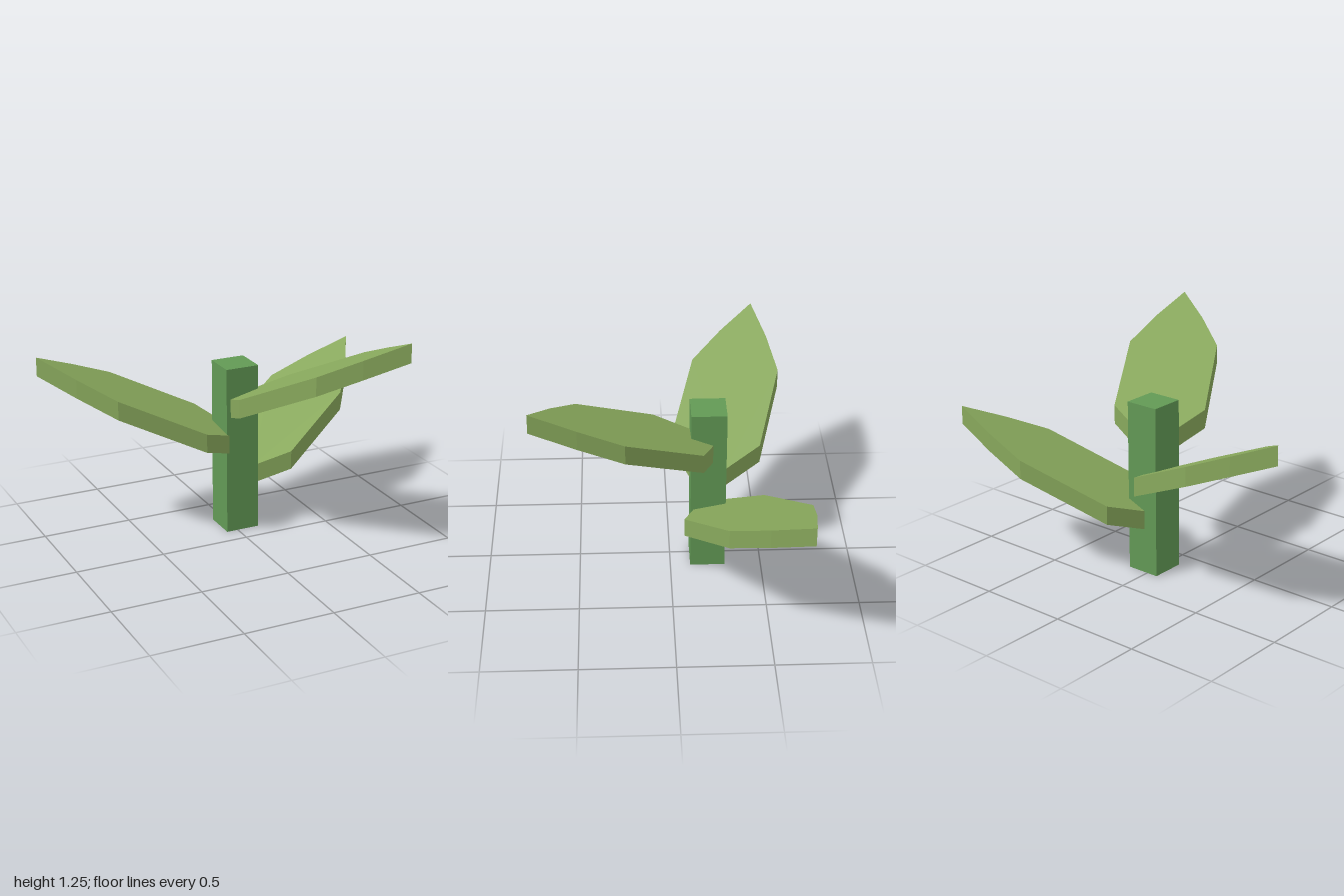
import * as THREE from 'three';

const SLOPE = 0.458;      // rise of a leaf per unit of reach
const THICKNESS = 0.105;  // measured vertically

// Half outline of a leaf: distance from the stem axis, half width
const HALF_OUTLINE = [[0.03, 0.095], [0.192, 0.247], [0.664, 0.247], [0.872, 0.134]];
const TIP = [1.073, 0];

// Flat outline extruded upwards, then sheared so the leaf rises towards its tip
function leafGeometry() {
  const points = [
    ...HALF_OUTLINE.map(([r, w]) => [r, -w]),
    TIP,
    ...HALF_OUTLINE.slice().reverse(),
  ].map(([r, w]) => new THREE.Vector2(r, w));
  const geometry = new THREE.ExtrudeGeometry(new THREE.Shape(points), { depth: THICKNESS, bevelEnabled: false });
  geometry.rotateX(-Math.PI / 2);
  const position = geometry.attributes.position;
  for (let i = 0; i < position.count; i++) {
    position.setY(i, position.getY(i) - THICKNESS + SLOPE * position.getX(i));
  }
  geometry.computeVertexNormals();
  return geometry;
}

export function createModel() {
  const stemGreen = new THREE.MeshStandardMaterial({ name: 'stem green', color: 0x629955, flatShading: true });
  const leafGreen = new THREE.MeshStandardMaterial({ name: 'leaf green', color: 0x88a85c, flatShading: true });

  const plant = new THREE.Group();
  plant.name = 'sprout';
  plant.position.set(0.03, 0, -0.205); // stem stands off centre, the leaves balance it

  // Square stem
  const stem = new THREE.Mesh(new THREE.BoxGeometry(0.19, 0.955, 0.19), stemGreen);
  stem.name = 'stem';
  stem.position.y = 0.955 / 2;
  plant.add(stem);

  // Three equal leaves, stepped up the stem
  const leaf = leafGeometry();
  const leaves = [
    ['lowerLeaf', 0.347, 26.1],
    ['middleLeaf', 0.552, 163.7],
    ['upperLeaf', 0.762, -59.4],
  ];
  for (const [name, height, turn] of leaves) {
    const mesh = new THREE.Mesh(leaf, leafGreen);
    mesh.name = name;
    mesh.position.y = height;
    mesh.rotation.y = THREE.MathUtils.degToRad(turn);
    plant.add(mesh);
  }

  const model = new THREE.Group();
  model.name = 'plant';
  model.add(plant);
  return model;
}
